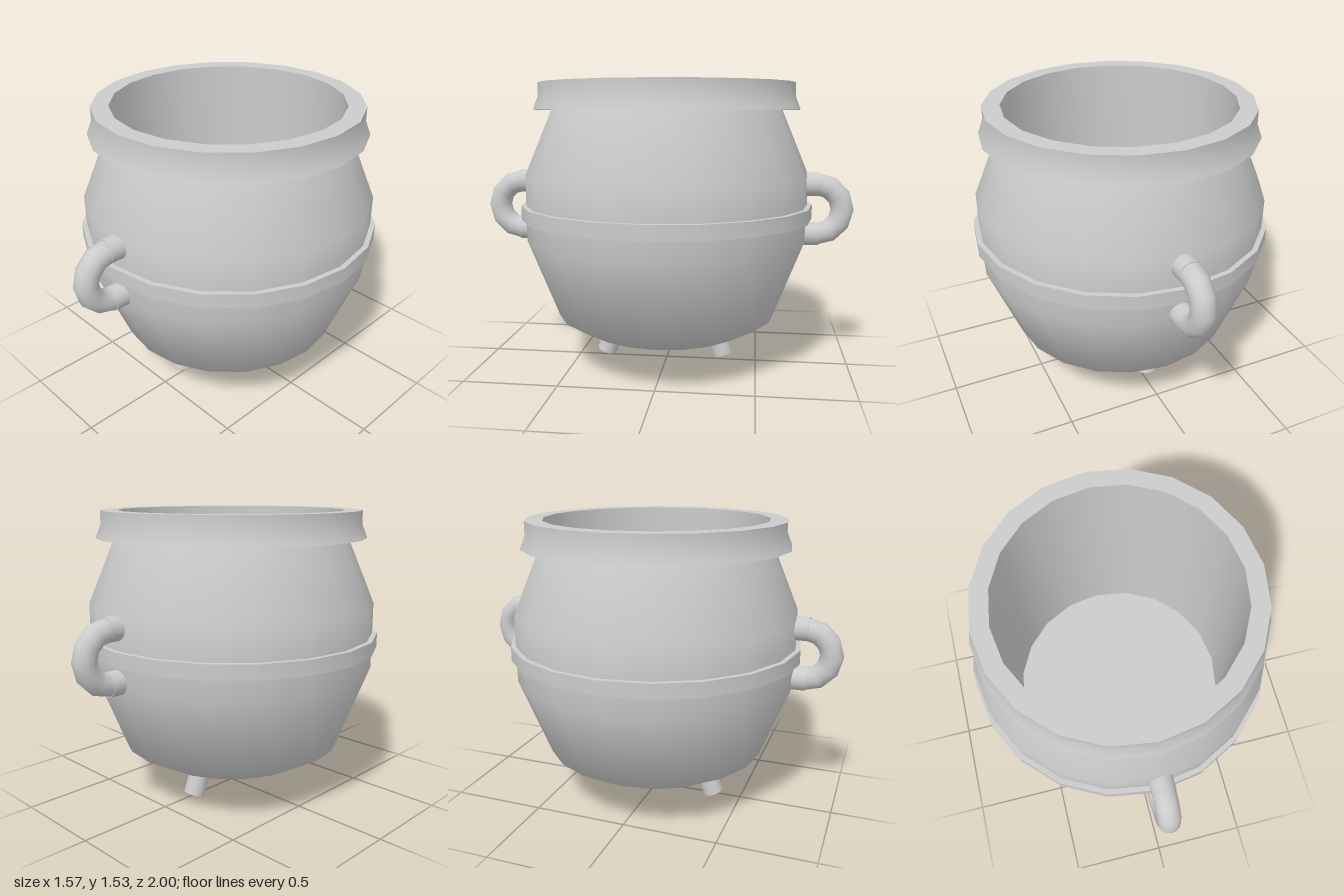
import * as THREE from 'three';
import { toCreasedNormals } from 'three/addons/utils/BufferGeometryUtils.js';

const SIDES = 20;

export function createModel() {
  const group = new THREE.Group();
  group.name = 'cauldron';
  const mat = new THREE.MeshStandardMaterial({ color: 0xcccccc });

  const add = (name, geometry, parent = group) => {
    const mesh = new THREE.Mesh(geometry, mat);
    mesh.name = name;
    parent.add(mesh);
    return mesh;
  };
  const lathe = (points) => toCreasedNormals(
    new THREE.LatheGeometry(points.map(([r, y]) => new THREE.Vector2(r, y)), SIDES),
    THREE.MathUtils.degToRad(42));

  // Faceted belly
  add('belly', lathe([[0.455, 0.2], [0.595, 0.28], [0.758, 0.7], [0.758, 1.05], [0.615, 1.39]]));

  // Flared collar, flat lip and straight inner wall down to the floor
  add('rimAndInnerWall', lathe([
    [0.6, 1.39], [0.71, 1.39], [0.682, 1.46], [0.682, 1.53], [0.592, 1.53], [0.592, 0.32], [0, 0.32],
  ]));

  // Flat underside
  const underside = add('underside', new THREE.CircleGeometry(0.455, SIDES));
  underside.rotation.x = Math.PI / 2;
  underside.position.y = 0.2;

  // Raised band round the middle
  add('band', lathe([[0.74, 0.815], [0.784, 0.815], [0.784, 0.89], [0.74, 0.89]]));

  // Segmented handles at front and back
  for (const side of [1, -1]) {
    const handle = new THREE.Group();
    handle.name = side > 0 ? 'frontHandle' : 'backHandle';
    handle.position.set(0.02, 0.867, 0);
    if (side < 0) handle.scale.z = -1;
    group.add(handle);

    const bend = add('handleBend', new THREE.TorusGeometry(0.133, 0.06, 16, 6, Math.PI), handle);
    bend.rotation.set(Math.PI / 2, 0, -Math.PI / 2, 'ZXY');
    // Half ring turned to stand in the y-z plane and bulge outwards
    bend.rotation.set(0, 0, 0);
    bend.geometry.rotateZ(-Math.PI / 2).rotateY(-Math.PI / 2);
    bend.position.z = 0.807;

    for (const y of [0.133, -0.133]) {
      const stub = add('handleStub', new THREE.CylinderGeometry(0.062, 0.062, 0.13, 16), handle);
      stub.rotation.x = Math.PI / 2;
      stub.position.set(0, y, 0.755);
    }
  }

  // Two splayed legs, sunk slightly into the base
  const addLeg = (name, top, foot) => {
    const a = new THREE.Vector3(...top), b = new THREE.Vector3(...foot);
    const axis = a.clone().sub(b);
    const leg = add(name, new THREE.CylinderGeometry(0.055, 0.055, axis.length(), 16));
    leg.position.copy(a).add(b).multiplyScalar(0.5);
    leg.quaternion.setFromUnitVectors(new THREE.Vector3(0, 1, 0), axis.normalize());
  };
  addLeg('frontLeg', [-0.025, 0.25, 0.267], [-0.023, 0.02, 0.35]);
  addLeg('backLeg', [-0.035, 0.25, -0.243], [-0.025, 0.025, -0.315]);

  return group;
}
